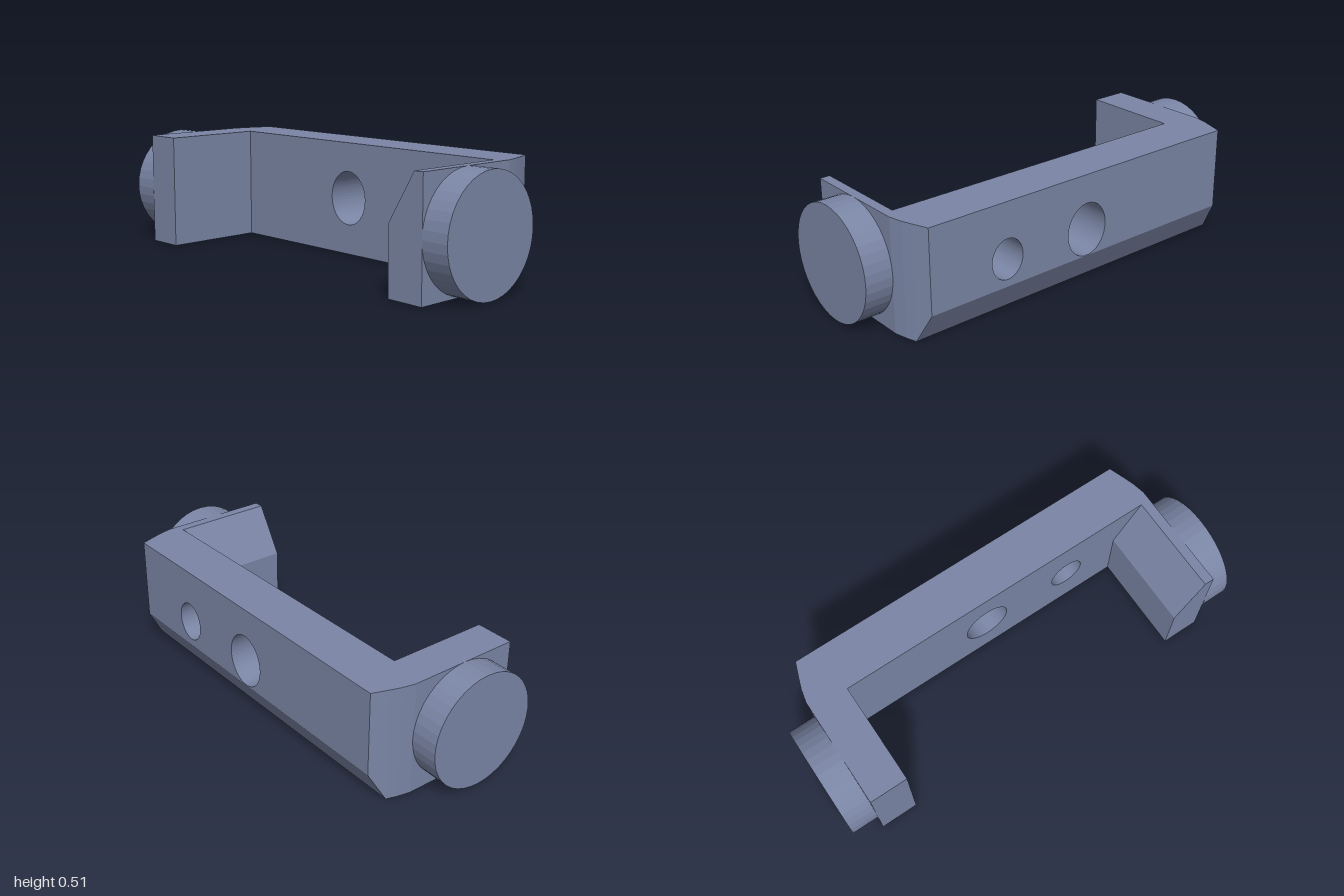
import * as THREE from 'three';

const HEIGHT = 0.515, HALF = 0.875, INNER = 0.7;
const BACK = -0.345, WALL_FRONT = -0.12, FRONT = 0.345;

// z of each wall layer with the half width and underside height there
const LAYERS = [
  [BACK, 0.82, 0.135],
  [-0.27, 0.847, 0],
  [-0.225, 0.862, 0],
  [-0.165, HALF, 0],
  [WALL_FRONT, HALF, 0],
];

function polygon(points) {
  return new THREE.Shape(points.map(([x, y]) => new THREE.Vector2(x, y)));
}

// Back wall with two through holes, tapered ends and a bevelled rear underside
function wallGeometry() {
  const shape = polygon([[-HALF, 0], [HALF, 0], [HALF, HEIGHT], [-HALF, HEIGHT]]);
  for (const [x, rx, ry] of [[0, 0.107, 0.123], [0.437, 0.08, 0.092]]) {
    const hole = new THREE.Path();
    hole.absellipse(x, 0.26, rx, ry, 0, Math.PI * 2, true);
    shape.holes.push(hole);
  }
  const steps = LAYERS.length - 1;
  const geometry = new THREE.ExtrudeGeometry(shape, {
    depth: steps, steps, bevelEnabled: false, curveSegments: 28,
  });
  const p = geometry.attributes.position;
  for (let i = 0; i < p.count; i++) {
    const [z, halfWidth, bottom] = LAYERS[Math.round(p.getZ(i))];
    if (Math.abs(p.getX(i)) > HALF - 0.001) p.setX(i, Math.sign(p.getX(i)) * halfWidth);
    if (p.getY(i) < 0.001) p.setY(i, bottom);
    p.setZ(i, z);
  }
  geometry.computeVertexNormals();
  return geometry;
}

// Arm profile pushed forward from the wall
function armGeometry(points) {
  const geometry = new THREE.ExtrudeGeometry(polygon(points), {
    depth: FRONT - WALL_FRONT, bevelEnabled: false,
  });
  return geometry.translate(0, 0, WALL_FRONT);
}

export function createModel() {
  const model = new THREE.Group();
  model.name = 'bracket';
  const slate = new THREE.MeshStandardMaterial({ color: 0x7b86a6, flatShading: true });
  slate.name = 'slate blue';

  const add = (name, geometry) => {
    const mesh = new THREE.Mesh(geometry, slate);
    mesh.name = name;
    model.add(mesh);
    return mesh;
  };

  add('backWall', wallGeometry());

  // Plain right arm, left arm with its inner top corner cut away
  add('rightArm', armGeometry([[-HALF, 0], [-INNER, 0], [-INNER, HEIGHT], [-HALF, HEIGHT]]));
  add('leftArm', armGeometry([[INNER, 0], [HALF, 0], [HALF, HEIGHT], [0.83, HEIGHT], [INNER, 0.3]]));

  // Round pivot discs on the outer faces
  for (const [name, side] of [['leftPivotDisc', 1], ['rightPivotDisc', -1]]) {
    const disc = add(name, new THREE.CylinderGeometry(HEIGHT / 2, HEIGHT / 2, 1 - HALF, 40));
    disc.rotation.z = Math.PI / 2;
    disc.position.set(side * (1 + HALF) / 2, HEIGHT / 2, 0.09);
  }

  return model;
}
